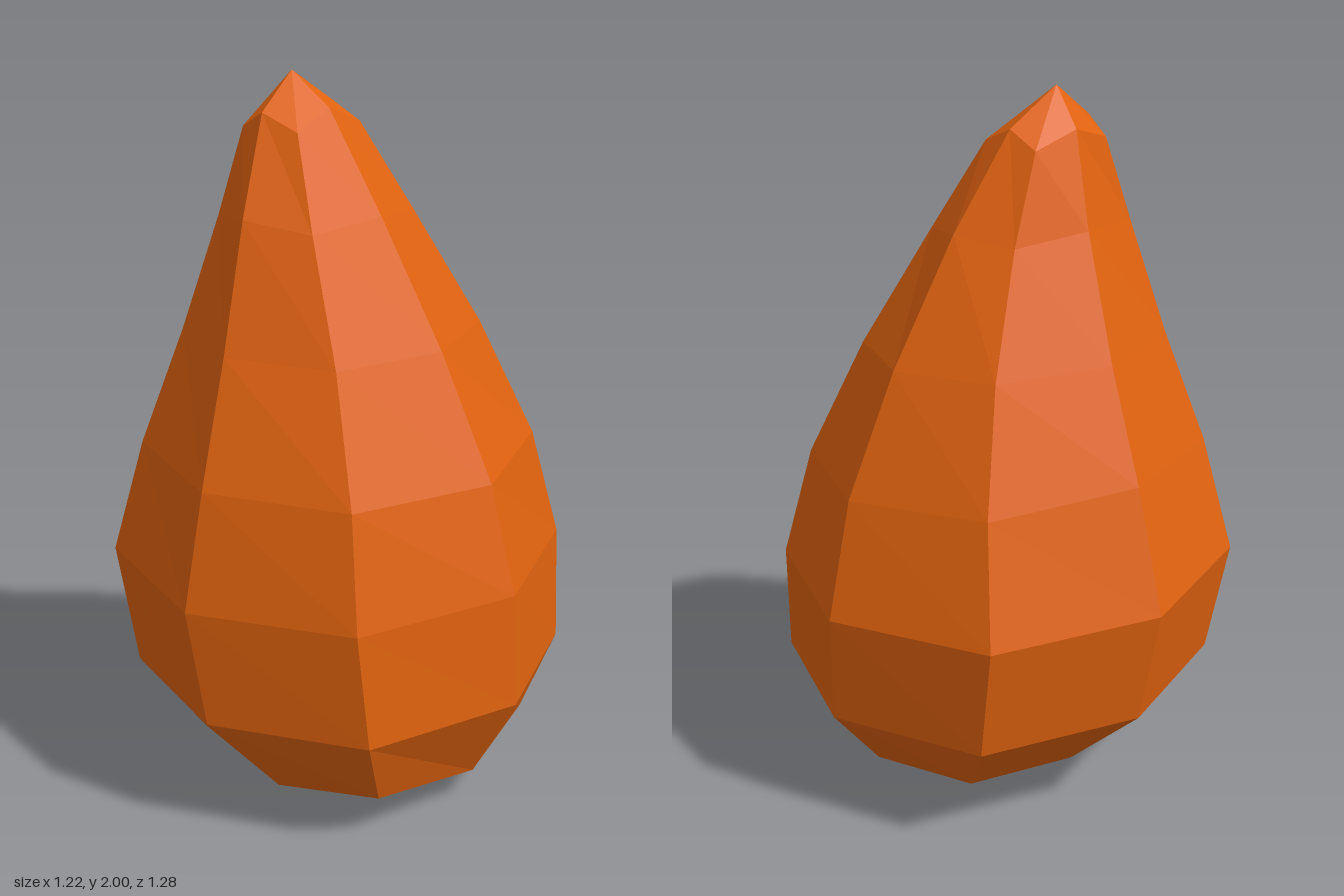
import * as THREE from 'three';

// Rings from bottom to top. Each list runs side to side:
// x and y: right side, right corners, middle, left corners, left side
// z: back, back corners, sides, front corners, front
const rings = [
  { x: [-0.28, -0.23, 0.10, 0.40, 0.47], y: [0.09, 0.13, 0.09, 0.13, 0.09], z: [-0.405, -0.34, 0, 0.34, 0.405] },
  { x: [-0.54, -0.39, 0.03, 0.45, 0.605], y: [0.34, 0.34, 0.34, 0.34, 0.34], z: [-0.61, -0.445, 0, 0.445, 0.61] },
  { x: [-0.61, -0.45, -0.01, 0.425, 0.59], y: [0.68, 0.675, 0.665, 0.66, 0.66], z: [-0.64, -0.465, 0, 0.465, 0.64] },
  { x: [-0.51, -0.37, 0, 0.37, 0.51], y: [1.02, 1.0, 0.985, 0.97, 0.96], z: [-0.555, -0.4, 0.005, 0.42, 0.575] },
  { x: [-0.39, -0.285, -0.02, 0.25, 0.35], y: [1.32, 1.32, 1.315, 1.3, 1.3], z: [-0.41, -0.295, 0.02, 0.335, 0.46] },
  { x: [-0.265, -0.205, -0.05, 0.12, 0.17], y: [1.65, 1.63, 1.65, 1.62, 1.64], z: [-0.225, -0.155, 0.05, 0.27, 0.345] },
  { x: [-0.19, -0.175, -0.09, 0.013, 0.015], y: [1.9, 1.86, 1.905, 1.86, 1.91], z: [-0.065, -0.055, 0.075, 0.2, 0.22] },
];

// Index into x/y and z for the eight points, going from +x round by +z
const ORDER = [[4, 2], [3, 3], [2, 4], [1, 3], [0, 2], [1, 1], [2, 0], [3, 1]];

function createBody() {
  const points = [];
  for (const r of rings) for (const [i, k] of ORDER) points.push(r.x[i], r.y[i], r.z[k]);
  const bottom = rings.length * 8, top = bottom + 1;
  points.push(0.12, 0, 0, -0.10, 2, 0.09);

  const index = [];
  const quad = (a, b, c, d) => index.push(a, b, c, a, c, d);

  // Side faces
  for (let r = 0; r < rings.length - 1; r++) {
    for (let i = 0; i < 8; i++) {
      const a = r * 8 + i, b = r * 8 + (i + 1) % 8;
      quad(a, a + 8, b + 8, b);
    }
  }
  // Four faces close each end, meeting at its tip
  const last = (rings.length - 1) * 8;
  for (let i = 0; i < 8; i += 2) {
    const j = (i + 2) % 8;
    quad(bottom, i, i + 1, j);
    quad(top, last + j, last + i + 1, last + i);
  }

  const geometry = new THREE.BufferGeometry();
  geometry.setAttribute('position', new THREE.Float32BufferAttribute(points, 3));
  geometry.setIndex(index);
  const flat = geometry.toNonIndexed();
  flat.computeVertexNormals();
  return flat;
}

export function createModel() {
  const group = new THREE.Group();
  const body = new THREE.Mesh(
    createBody(),
    new THREE.MeshStandardMaterial({ color: 0xe0620f, flatShading: true })
  );
  body.name = 'teardropBody';
  group.add(body);
  return group;
}
